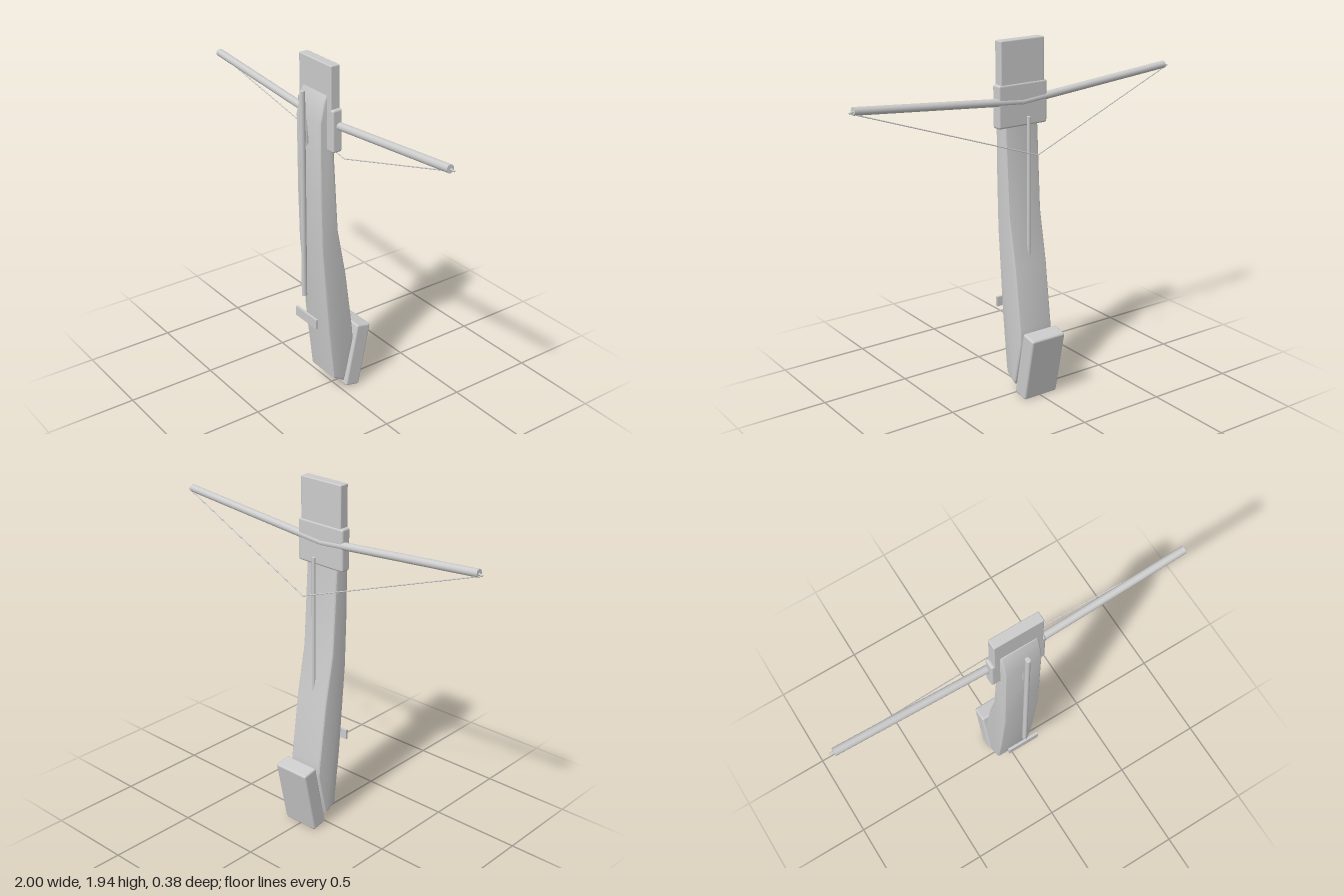
import * as THREE from 'three';
import { RoundedBoxGeometry } from 'three/addons/geometries/RoundedBoxGeometry.js';
import { toCreasedNormals } from 'three/addons/utils/BufferGeometryUtils.js';

const V = (x, y, z) => new THREE.Vector3(x, y, z);

export function createModel() {
  const group = new THREE.Group();
  const grey = new THREE.MeshStandardMaterial({ color: 0xcccccc });

  const add = (name, geometry, x = 0, y = 0, z = 0) => {
    const mesh = new THREE.Mesh(geometry, grey);
    mesh.name = name;
    mesh.position.set(x, y, z);
    group.add(mesh);
    return mesh;
  };
  const box = (name, w, h, d, r, x, y, z) =>
    add(name, new RoundedBoxGeometry(w, h, d, 2, r), x, y, z);
  // Straight round bar between two points
  const bar = (name, a, b, r0, r1, sides = 16) => {
    const mesh = add(name, new THREE.CylinderGeometry(r1, r0, a.distanceTo(b), sides));
    mesh.position.copy(a).add(b).multiplyScalar(0.5);
    mesh.quaternion.setFromUnitVectors(V(0, 1, 0), b.clone().sub(a).normalize());
    return mesh;
  };

  // Stock: side outline as (z, y), extruded across the width with bevelled edges
  const outline = [
    [0.11, 1.785], [0.125, 1.75], [0.15, 1.64], [0.147, 1.2], [0.14, 0.93], [0.1, 0.43],
    [0.063, 0.11], [-0.01, 0.062], [-0.02, 0.09], [-0.072, 0.32], [-0.065, 0.4],
    [-0.02, 0.74], [0.033, 1.02], [0.06, 1.48], [0.065, 1.785],
  ];
  const profile = new THREE.Shape(outline.map(([z, y]) => new THREE.Vector2(-z, y)));
  const bevel = 0.013;
  const stock = new THREE.ExtrudeGeometry(profile, {
    depth: 0.21 - 2 * bevel, bevelEnabled: true, bevelSize: bevel,
    bevelThickness: bevel, bevelOffset: -bevel, bevelSegments: 3,
  });
  stock.translate(0, 0, -0.105 + bevel);
  stock.rotateY(Math.PI / 2);
  add('stock', toCreasedNormals(stock, 0.5));

  // Tilted butt at the foot of the stock
  box('butt', 0.215, 0.38, 0.093, 0.012, 0, 0.199, -0.104).rotation.x = -0.205;

  // Head plate and the block that clamps the limbs
  box('headPlate', 0.272, 0.44, 0.055, 0.006, 0, 1.725, 0.078);
  box('limbBlock', 0.306, 0.23, 0.06, 0.012, 0, 1.605, 0.076);

  // Limbs and string, mirrored
  for (const s of [1, -1]) {
    const side = s > 0 ? 'left' : 'right';
    bar(side + 'Limb', V(0, 1.617, 0.063), V(s * 0.975, 1.7, 0.063), 0.021, 0.021);
    bar(side + 'LimbTip', V(s * 0.965, 1.699, 0.062), V(s * 0.998, 1.694, 0.057), 0.006, 0.004, 8);
    bar(side + 'String', V(0, 1.362, -0.08), V(s * 0.998, 1.694, 0.057), 0.003, 0.003, 8);
  }

  // Rail rod in front of the stock, with its thin tail pin
  bar('railRod', V(0, 0.635, 0.181), V(0, 1.795, 0.181), 0.0155, 0.0155).scale.x = 0.8;
  bar('railPin', V(0, 0.585, 0.17), V(0, 0.66, 0.17), 0.005, 0.005, 8);

  // Small sloping fins joining the rail to the stock
  for (const s of [1, -1]) {
    const fin = new THREE.Shape([[-0.165, 1.66], [-0.165, 1.5], [-0.152, 1.52]]
      .map(([x, y]) => new THREE.Vector2(x, y)));
    const geometry = new THREE.ExtrudeGeometry(fin, { depth: 0.004, bevelEnabled: false });
    geometry.rotateY(Math.PI / 2);
    add('railFin', geometry, s * 0.009 - 0.002);
  }

  // Cross slab below the rail
  add('crossSlab', new THREE.BoxGeometry(0.19, 0.055, 0.014), 0, 0.49, 0.167);

  // Rod behind the stock
  bar('backRod', V(0, 0.72, 0), V(0, 1.55, 0), 0.01, 0.01);

  return group;
}
